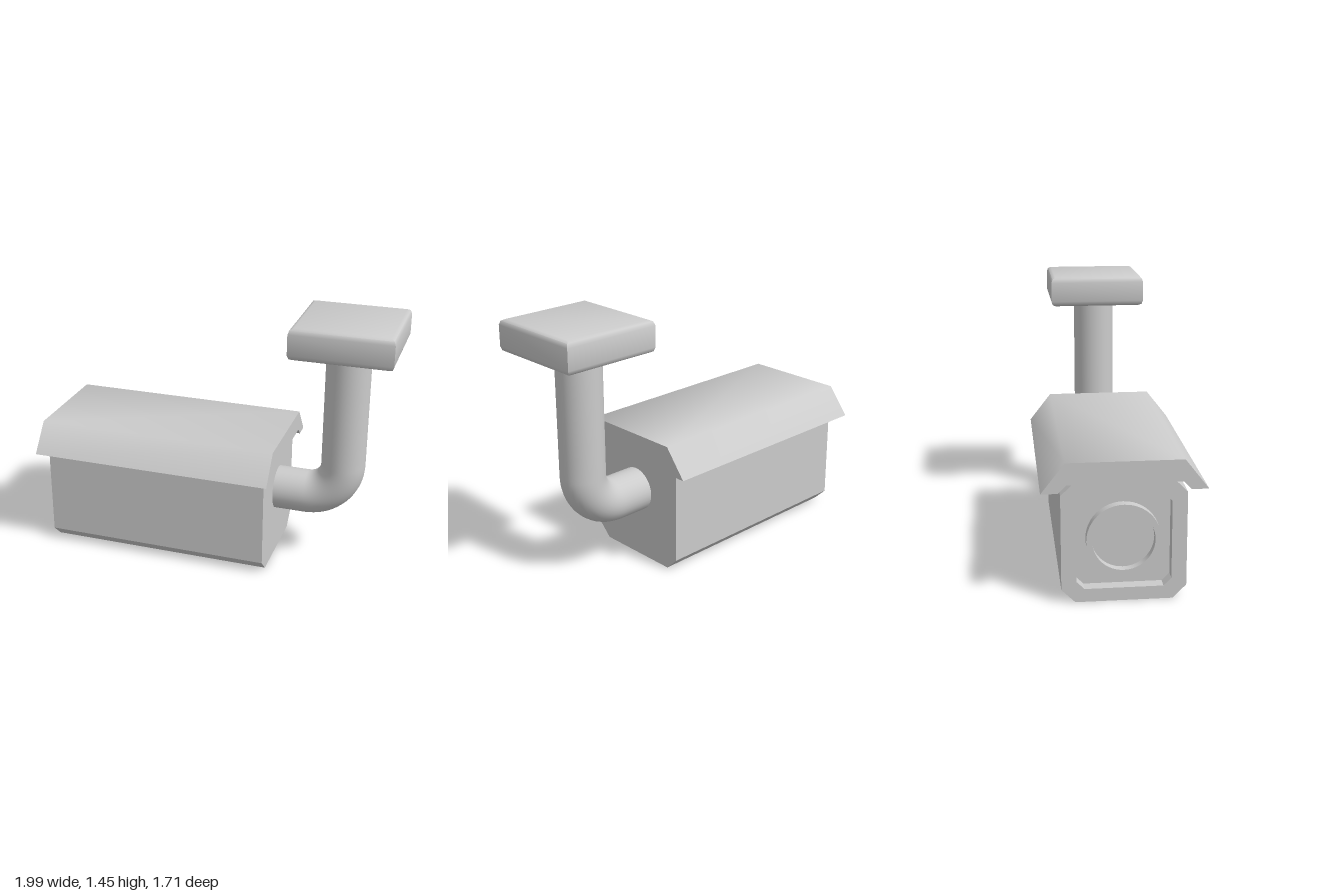
import * as THREE from 'three';
import { toCreasedNormals } from 'three/addons/utils/BufferGeometryUtils.js';

const material = new THREE.MeshStandardMaterial({ color: 0xcccccc });

function addMesh(group, name, geometry) {
  const mesh = new THREE.Mesh(geometry, material);
  mesh.name = name;
  group.add(mesh);
  return mesh;
}

// Rectangle with cut corners, standing between y0 and y1
function octagon(w, y0, y1, c) {
  return [[-w + c, y0], [w - c, y0], [w, y0 + c], [w, y1 - c],
    [w - c, y1], [-w + c, y1], [-w, y1 - c], [-w, y0 + c]].map(p => new THREE.Vector2(...p));
}

// Profile in x/y pushed along z from z0 to z1
function extrude(shape, z0, z1) {
  return new THREE.ExtrudeGeometry(shape, { depth: z1 - z0, bevelEnabled: false }).translate(0, 0, z0);
}

export function createModel() {
  const root = new THREE.Group();
  root.name = 'securityCamera';

  // The camera looks along its own +z and is turned as a whole
  const unit = new THREE.Group();
  unit.name = 'cameraAndMount';
  unit.rotation.y = THREE.MathUtils.degToRad(-54);
  unit.position.set(-0.016, 0, -0.022);
  root.add(unit);

  // Housing with a recessed front
  const outline = octagon(0.318, 0, 0.64, 0.07);
  addMesh(unit, 'housing', extrude(new THREE.Shape(outline), -0.4, 0.813));
  const rim = new THREE.Shape(outline);
  rim.holes.push(new THREE.Path(octagon(0.241, 0.07, 0.565, 0.04).reverse()));
  addMesh(unit, 'frontRim', extrude(rim, 0.813, 0.879));

  // Lens ring and glass
  const ring = [[0.19, 0], [0.19, 0.05], [0.16, 0.05], [0.16, 0.004]].map(p => new THREE.Vector2(...p));
  const ringGeometry = toCreasedNormals(new THREE.LatheGeometry(ring, 48), 0.6);
  addMesh(unit, 'lensRing', ringGeometry.rotateX(Math.PI / 2).translate(0, 0.318, 0.813));
  addMesh(unit, 'lensGlass', new THREE.CircleGeometry(0.16, 48).translate(0, 0.318, 0.818));

  // Sun hood, softly shaded over its ridges
  const hood = new THREE.Shape([[-0.417, 0.595], [-0.33, 0.595], [-0.29, 0.637], [0.29, 0.637],
    [0.33, 0.595], [0.417, 0.595], [0.296, 0.75], [-0.296, 0.75]].map(p => new THREE.Vector2(...p)));
  addMesh(unit, 'sunHood', toCreasedNormals(extrude(hood, -0.441, 0.913), 0.95));

  // Bent support arm
  const v = (y, z) => new THREE.Vector3(0, y, z);
  const bend = 0.2, k = bend * 0.4477, armZ = -0.77, armY = 0.4;
  const path = new THREE.CurvePath();
  path.add(new THREE.LineCurve3(v(armY, -0.36), v(armY, armZ + bend)));
  path.add(new THREE.CubicBezierCurve3(v(armY, armZ + bend), v(armY, armZ + k),
    v(armY + k, armZ), v(armY + bend, armZ)));
  path.add(new THREE.LineCurve3(v(armY + bend, armZ), v(1.3, armZ)));
  addMesh(unit, 'supportArm', new THREE.TubeGeometry(path, 80, 0.122, 32));

  // Square ceiling plate with eased edges
  const b = 0.025, t = 0.03, h = 0.2755 - b;
  const square = new THREE.Shape([[-h, -h], [h, -h], [h, h], [-h, h]].map(p => new THREE.Vector2(...p)));
  const plate = new THREE.ExtrudeGeometry(square, {
    depth: 0.172 - 2 * t, bevelSize: b, bevelThickness: t, bevelSegments: 2,
  });
  plate.rotateX(-Math.PI / 2).translate(0, 1.273 + t, armZ);
  addMesh(unit, 'ceilingPlate', toCreasedNormals(plate, 0.8));

  return root;
}
